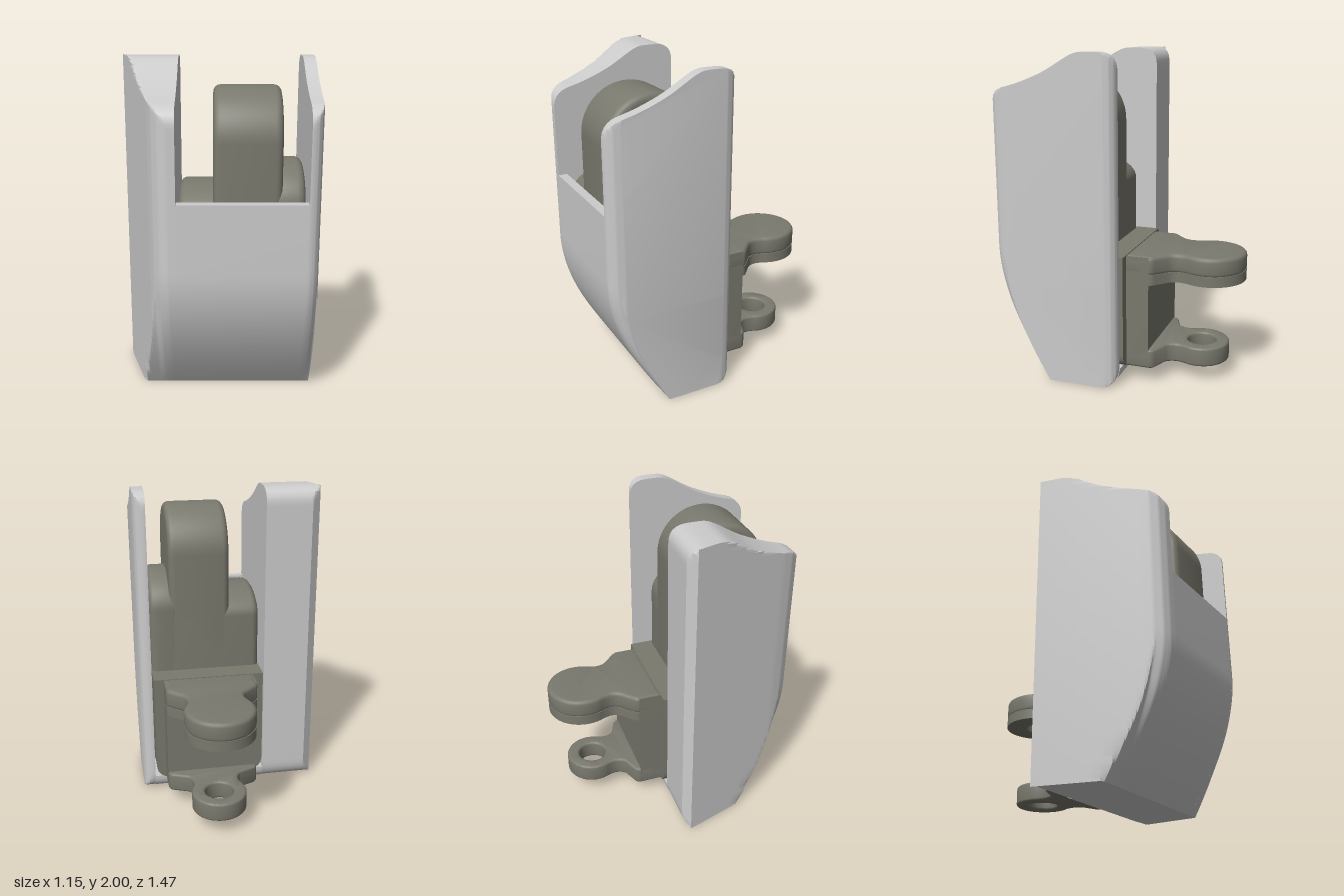
import * as THREE from 'three';
import { toCreasedNormals } from 'three/addons/utils/BufferGeometryUtils.js';

const shellMat = new THREE.MeshStandardMaterial({ color: 0xcccccc });
const metalMat = new THREE.MeshStandardMaterial({ color: 0x7a796e });
const BACK = -0.045, FRONT = 0.735;

function mesh(name, geometry, material) {
  const m = new THREE.Mesh(toCreasedNormals(geometry, 0.6), material);
  m.name = name;
  return m;
}

// Extrusion along +z whose rounded edges stay inside the shape and depth
function extrude(shape, depth, bevel = 0) {
  const g = new THREE.ExtrudeGeometry(shape, {
    depth: depth - 2 * bevel, curveSegments: 20, bevelEnabled: bevel > 0,
    bevelSize: bevel, bevelThickness: bevel, bevelOffset: -bevel, bevelSegments: 4,
  });
  return g.translate(0, 0, bevel);
}
// Side shapes are drawn as (-z, y) and run from x0 to x1
const alongX = (shape, x0, x1, bevel) =>
  extrude(shape, x1 - x0, bevel).rotateY(Math.PI / 2).translate(x0, 0, 0);
// Plan shapes are drawn as (x, z) and run from y0 to y1
const alongY = (shape, y0, y1, bevel) =>
  extrude(shape, y1 - y0, bevel).rotateX(Math.PI / 2).translate(0, y1, 0);

// Full side outline of the housing
function sideProfile() {
  const s = new THREE.Shape();
  s.moveTo(-0.385, 0).lineTo(-0.06, 0);
  s.quadraticCurveTo(0.045, 0, 0.045, 0.12).lineTo(0.045, 1.9);
  s.quadraticCurveTo(0.045, 2, -0.07, 2).lineTo(-0.15, 2);
  s.bezierCurveTo(-0.22, 2, -0.3, 1.92, -0.42, 1.87);
  s.bezierCurveTo(-0.5, 1.835, -0.56, 1.815, -0.64, 1.795);
  s.quadraticCurveTo(-0.735, 1.77, -0.735, 1.68).lineTo(-0.735, 0.85);
  s.bezierCurveTo(-0.735, 0.55, -0.58, 0.28, -0.385, 0);
  return s.getSpacedPoints(180).slice(0, -1);
}

// Side wall lofted along x; each section [x, zMin, zMax] trims the outline
function wallGeometry(sections) {
  const profile = sideProfile(), n = profile.length, pos = [], idx = [], rings = [];
  const steps = 5;
  for (let i = 0; i < sections.length - 1; i++) {
    const last = i === sections.length - 2;
    for (let k = 0; k < steps + (last ? 1 : 0); k++) {
      rings.push(sections[i].map((v, c) => THREE.MathUtils.lerp(v, sections[i + 1][c], k / steps)));
    }
  }
  const outlines = rings.map(([x, zMin, zMax]) => profile.map((p) => {
    let z = -p.x;
    if (p.y < 1 && z > 0.3) z -= Math.min(0.06, FRONT - zMax) * Math.min(1, p.y / 0.6);
    z = THREE.MathUtils.clamp(z, zMin, zMax);
    pos.push(x, p.y, z);
    return new THREE.Vector2(-z, p.y);
  }));
  for (let i = 0; i < rings.length - 1; i++) {
    for (let j = 0; j < n; j++) {
      const a = i * n + j, b = i * n + (j + 1) % n;
      idx.push(a, b, b + n, a, b + n, a + n);
    }
  }
  // End caps, unless the end tapers to an edge
  for (const end of [0, rings.length - 1]) {
    if (rings[end][2] - rings[end][1] < 0.01) continue;
    for (const [a, b, c] of THREE.ShapeUtils.triangulateShape(outlines[end], [])) {
      const o = end * n;
      if (end) idx.push(o + a, o + b, o + c);
      else idx.push(o + a, o + c, o + b);
    }
  }
  const g = new THREE.BufferGeometry();
  g.setAttribute('position', new THREE.Float32BufferAttribute(pos, 3));
  g.setIndex(idx);
  return g;
}

// Floor and curved front panel in one piece
function panelShape() {
  const s = new THREE.Shape();
  s.moveTo(-0.385, 0).lineTo(-0.06, 0);
  s.quadraticCurveTo(0.045, 0, 0.045, 0.1).lineTo(-0.4, 0.1);
  s.bezierCurveTo(-0.55, 0.3, -0.68, 0.55, -0.68, 0.85);
  s.lineTo(-0.68, 1.255).lineTo(-0.735, 1.255).lineTo(-0.735, 0.85);
  s.bezierCurveTo(-0.735, 0.55, -0.58, 0.28, -0.385, 0);
  return s;
}

// Block with an arched top, seen from the side
function archShape(top, rise) {
  const s = new THREE.Shape();
  s.moveTo(-0.38, 0.12).lineTo(-0.08, 0.12).lineTo(-0.08, top - rise);
  s.absellipse(-0.37, top - rise, 0.29, rise, 0, Math.PI, false);
  s.lineTo(-0.66, 0.85);
  s.bezierCurveTo(-0.66, 0.55, -0.53, 0.3, -0.38, 0.12);
  return s;
}

function roundedRect(x0, x1, y0, y1, r) {
  const s = new THREE.Shape();
  s.moveTo(x0 + r, y0).lineTo(x1 - r, y0).quadraticCurveTo(x1, y0, x1, y0 + r);
  s.lineTo(x1, y1).lineTo(x0, y1).lineTo(x0, y0 + r).quadraticCurveTo(x0, y0, x0 + r, y0);
  return s;
}

// Arm seen from above: wide root, narrow neck, round eye
function armShape(r, cz, neck, neckZ, hole) {
  const cx = 0.138, w = 0.29, a = 0.38;
  const ex = r * Math.cos(a), ez = cz + r * Math.sin(a);
  const s = new THREE.Shape();
  s.moveTo(cx + w, -0.06).lineTo(cx + w, -0.2);
  s.quadraticCurveTo(cx + w, -0.225, cx + w - 0.02, -0.24);
  s.lineTo(cx + neck + 0.03, neckZ + 0.06);
  s.bezierCurveTo(cx + neck - 0.01, neckZ + 0.02, cx + neck, neckZ - 0.03, cx + ex, ez);
  s.absarc(cx, cz, r, a, Math.PI - a, true);
  s.bezierCurveTo(cx - neck, neckZ - 0.03, cx - neck + 0.01, neckZ + 0.02, cx - neck - 0.03, neckZ + 0.06);
  s.lineTo(cx - w + 0.02, -0.24).quadraticCurveTo(cx - w, -0.225, cx - w, -0.2);
  s.lineTo(cx - w, -0.06);
  if (hole) s.holes.push(new THREE.Path().absarc(cx, cz, hole, 0, Math.PI * 2, false));
  return s;
}

export function createModel() {
  const model = new THREE.Group();
  model.name = 'latchAssembly';

  // Housing: slanted right wall, thin left wall, floor with front panel
  const housing = new THREE.Group();
  housing.name = 'housing';
  housing.add(
    mesh('slantedWall', wallGeometry([
      [-0.575, 0, 0], [-0.52, BACK, 0.177], [-0.42, BACK, 0.5], [-0.385, BACK, 0.61],
      [-0.36, BACK, 0.67], [-0.325, BACK, 0.715], [-0.28, BACK, 0.733], [-0.23, BACK, FRONT],
    ]), shellMat),
    mesh('thinWall', wallGeometry([
      [0.5, BACK, FRONT], [0.515, BACK, 0.733], [0.54, -0.035, 0.72],
      [0.56, -0.015, 0.695], [0.572, 0.02, 0.65],
    ]), shellMat),
    mesh('frontPanel', alongX(panelShape(), -0.23, 0.5), shellMat),
  );

  // Inner block with two shoulders and a tall arched hump
  const block = new THREE.Group();
  block.name = 'innerBlock';
  block.add(
    mesh('lowShoulder', alongX(archShape(1.31, 0.15), -0.22, 0.49, 0.045), metalMat),
    mesh('highShoulder', alongX(archShape(1.44, 0.22), 0.29, 0.49, 0.045), metalMat),
    mesh('hump', alongX(archShape(1.86, 0.29), -0.025, 0.36, 0.04), metalMat),
  );

  // Rear bracket: flange, stem and two arms
  const bracket = new THREE.Group();
  bracket.name = 'bracket';
  bracket.add(
    mesh('flange', extrude(roundedRect(-0.22, 0.49, 0.1, 0.81, 0.1), 0.2).translate(0, 0, -0.065), metalMat),
    mesh('stem', extrude(roundedRect(-0.152, 0.428, 0.1, 0.805, 0.08), 0.15).translate(0, 0, -0.205), metalMat),
    mesh('upperArm', alongY(armShape(0.215, -0.52, 0.175, -0.36), 0.69, 0.81, 0.025), metalMat),
    mesh('upperArmSocket', alongY(armShape(0.215, -0.52, 0.175, -0.36, 0.085), 0.635, 0.7), metalMat),
    mesh('lowerArm', alongY(armShape(0.17, -0.47, 0.14, -0.34, 0.09), 0.1, 0.22, 0.015), metalMat),
  );

  model.add(housing, block, bracket);
  return model;
}
